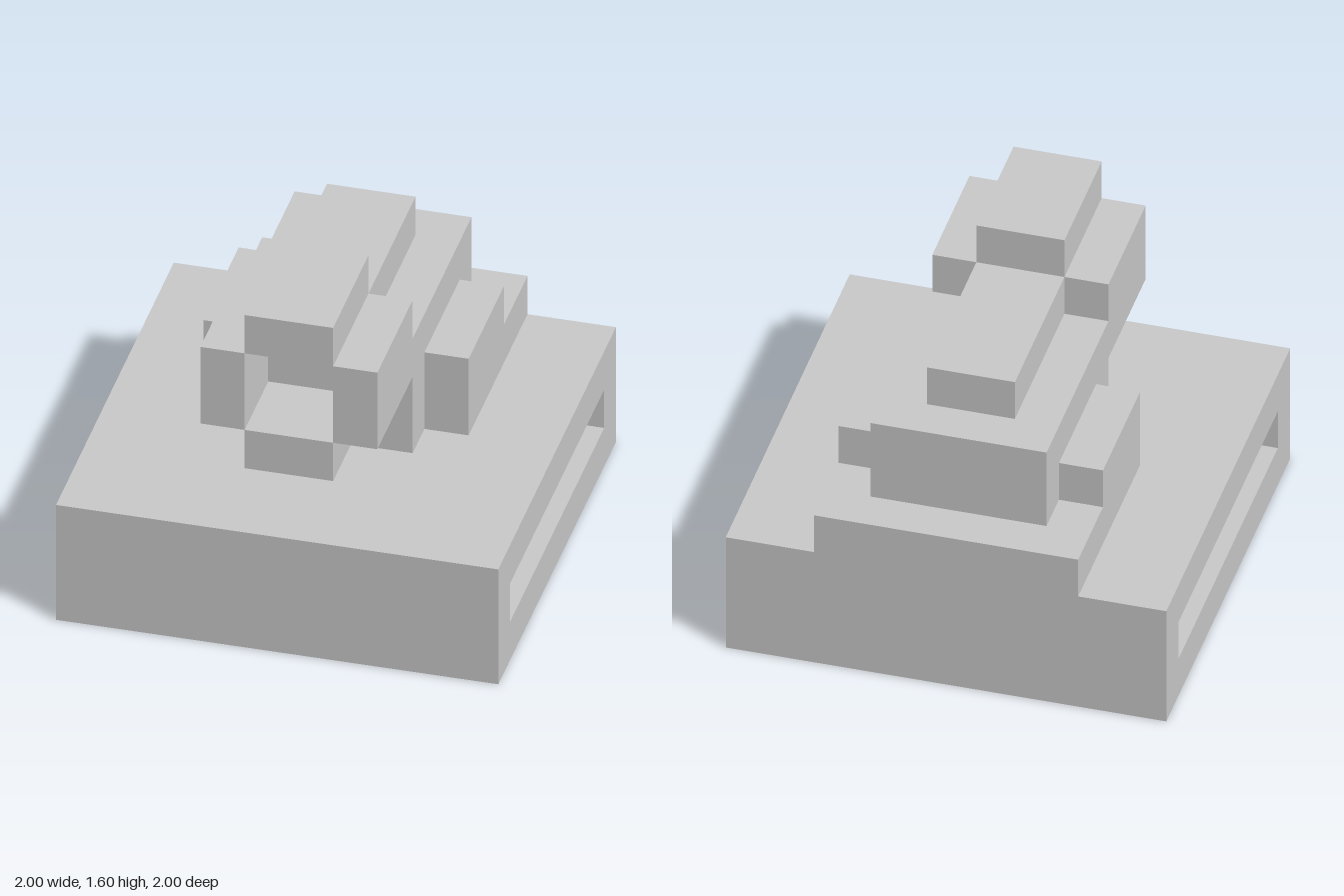
import * as THREE from 'three';

const material = new THREE.MeshStandardMaterial({ color: 0xcccccc, flatShading: true });

// Box given by its extents on each axis
function block(name, [x0, x1], [y0, y1], [z0, z1]) {
  const mesh = new THREE.Mesh(new THREE.BoxGeometry(x1 - x0, y1 - y0, z1 - z0), material);
  mesh.position.set((x0 + x1) / 2, (y0 + y1) / 2, (z0 + z1) / 2);
  mesh.name = name;
  return mesh;
}

// Side wall of the base with a long slot cut through it
function slottedPanel(name, xStart) {
  const rect = (Type, w, y0, y1) => new Type([
    new THREE.Vector2(-w, y0), new THREE.Vector2(w, y0),
    new THREE.Vector2(w, y1), new THREE.Vector2(-w, y1),
  ]);
  const shape = rect(THREE.Shape, 1, 0, 0.6);
  shape.holes.push(rect(THREE.Path, 0.8, 0.2, 0.4));
  const geometry = new THREE.ExtrudeGeometry(shape, { depth: 0.2, bevelEnabled: false });
  geometry.rotateY(Math.PI / 2);
  const mesh = new THREE.Mesh(geometry, material);
  mesh.position.x = xStart;
  mesh.name = name;
  return mesh;
}

export function createModel() {
  const model = new THREE.Group();
  model.name = 'turretOnBase';

  // Base: solid core between two slotted side walls
  const base = new THREE.Group();
  base.name = 'base';
  base.add(
    block('baseCore', [-0.8, 0.8], [0, 0.6], [-1, 1]),
    slottedPanel('leftSlottedWall', 0.8),
    slottedPanel('rightSlottedWall', -1),
  );

  // Turret body with its rear step and top ridge
  const turret = new THREE.Group();
  turret.name = 'turret';
  turret.add(
    block('body', [-0.4, 0.4], [0.6, 1.2], [-0.8, 0.2]),
    block('topRidge', [-0.2, 0.2], [1.2, 1.4], [-0.6, 0.2]),
    block('rearStep', [-0.6, 0.6], [0.6, 0.8], [-1, -0.6]),
    block('leftSideBlock', [0.4, 0.6], [0.6, 1], [-0.6, 0]),
    block('rightSideBlock', [-0.6, -0.4], [0.6, 1], [-0.6, 0]),
  );

  // Hollow muzzle: four walls around a recess closed at the back
  const muzzle = new THREE.Group();
  muzzle.name = 'muzzle';
  const depth = [0.2, 0.8];
  muzzle.add(
    block('muzzleTop', [-0.2, 0.2], [1.4, 1.6], depth),
    block('muzzleBottom', [-0.2, 0.2], [0.8, 1], depth),
    block('muzzleLeft', [0.2, 0.4], [1, 1.4], depth),
    block('muzzleRight', [-0.4, -0.2], [1, 1.4], depth),
    block('muzzleBack', [-0.2, 0.2], [1, 1.4], [0.2, 0.4]),
  );

  model.add(base, turret, muzzle);
  return model;
}
